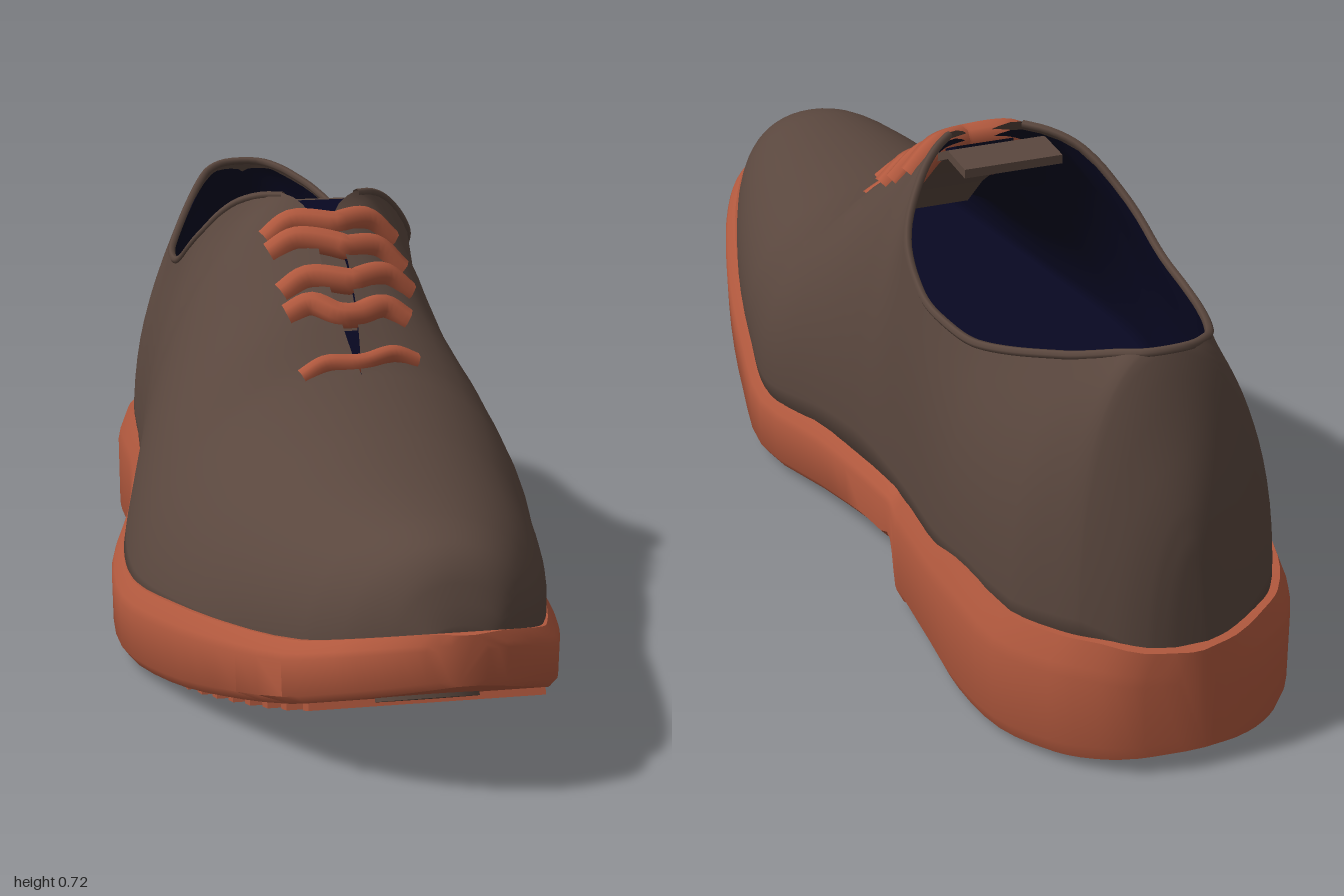
import * as THREE from 'three';
import { mergeVertices, toCreasedNormals } from 'three/addons/utils/BufferGeometryUtils.js';

const { clamp, lerp, smoothstep } = THREE.MathUtils;

const material = (name, color, extra = {}) => {
  const m = new THREE.MeshStandardMaterial({ color, ...extra });
  m.name = name;
  return m;
};

// Sole stations: z, left x, right x, bottom y, top y
const SOLE = [
  [-1, 0.04, 0.1, 0.035, 0.205], [-0.985, -0.02, 0.17, 0.03, 0.21], [-0.95, -0.08, 0.225, 0.022, 0.22],
  [-0.9, -0.13, 0.27, 0.016, 0.218], [-0.8, -0.18, 0.32, 0.012, 0.215], [-0.67, -0.202, 0.335, 0.012, 0.228],
  [-0.55, -0.207, 0.327, 0.012, 0.21], [-0.39, -0.23, 0.316, 0.012, 0.205], [-0.37, -0.232, 0.316, 0.014, 0.204],
  [-0.345, -0.238, 0.315, 0.098, 0.202], [-0.3, -0.247, 0.314, 0.09, 0.197], [-0.2, -0.272, 0.313, 0.073, 0.183],
  [0, -0.333, 0.32, 0.032, 0.158], [0.2, -0.354, 0.354, 0.014, 0.143], [0.4, -0.322, 0.322, 0.026, 0.155],
  [0.6, -0.275, 0.278, 0.06, 0.176], [0.8, -0.215, 0.218, 0.105, 0.204], [0.9, -0.16, 0.175, 0.137, 0.23],
  [0.95, -0.11, 0.14, 0.155, 0.245], [0.985, -0.055, 0.095, 0.17, 0.255], [1, -0.01, 0.05, 0.178, 0.255],
];
// Upper stations: z, top y, left and right x of the opening (equal where closed)
const UPPER = [
  [-0.985, 0.36, 0.075, 0.075], [-0.975, 0.44, 0.078, 0.078], [-0.95, 0.54, 0.08, 0.08], [-0.915, 0.66, 0.085, 0.085],
  [-0.905, 0.667, 0.045, 0.125], [-0.88, 0.66, 0.015, 0.15], [-0.8, 0.63, -0.03, 0.2], [-0.6, 0.567, -0.11, 0.255],
  [-0.5, 0.56, -0.13, 0.27], [-0.4, 0.572, -0.135, 0.275], [-0.3, 0.63, -0.12, 0.26], [-0.22, 0.7, -0.07, 0.2],
  [-0.15, 0.722, 0, 0.13], [-0.1, 0.695, 0.035, 0.08], [0, 0.632, 0.032, 0.078], [0.1, 0.567, 0.036, 0.07],
  [0.18, 0.5, 0.045, 0.058], [0.22, 0.475, 0.05, 0.05], [0.3, 0.44, 0.04, 0.04], [0.4, 0.412, 0.03, 0.03],
  [0.6, 0.395, 0.015, 0.015], [0.8, 0.385, 0.01, 0.01], [0.87, 0.37, 0.012, 0.012], [0.92, 0.335, 0.015, 0.015],
  [0.95, 0.255, 0.02, 0.02],
];

// Smooth interpolation between stations
function at(table, z) {
  const n = table.length;
  let i = 0;
  while (i < n - 2 && z > table[i + 1][0]) i++;
  const a = table[i], b = table[i + 1], p = table[Math.max(0, i - 1)], q = table[Math.min(n - 1, i + 2)];
  const w = b[0] - a[0], t = clamp((z - a[0]) / w, 0, 1);
  const t2 = t * t, t3 = t2 * t;
  return a.slice(1).map((v, k) => {
    const m0 = (b[k + 1] - p[k + 1]) / (b[0] - p[0]), m1 = (q[k + 1] - v) / (q[0] - a[0]);
    return (2 * t3 - 3 * t2 + 1) * v + (t3 - 2 * t2 + t) * w * m0
      + (3 * t2 - 2 * t3) * b[k + 1] + (t3 - t2) * w * m1;
  });
}

const stations = (table, steps) => table.slice(0, -1).flatMap((r, i) =>
  Array.from({ length: steps }, (_, k) => r[0] + (table[i + 1][0] - r[0]) * k / steps)).concat(table.at(-1)[0]);

// Skin closed rings of points; skip(i, j) leaves a quad open
function loft(rings, skip = () => false) {
  const n = rings[0].length, last = (rings.length - 1) * n, index = [];
  for (let i = 0; i < rings.length - 1; i++) for (let j = 0; j < n; j++) {
    if (skip(i, j)) continue;
    const a = i * n + j, c = i * n + (j + 1) % n;
    index.push(a, a + n, c, a + n, c + n, c);
  }
  for (let j = 1; j < n - 1; j++) index.push(0, j, j + 1, last, last + j + 1, last + j);
  const g = new THREE.BufferGeometry();
  g.setAttribute('position', new THREE.Float32BufferAttribute(rings.flat().flatMap(p => [p.x, p.y, p.z]), 3));
  g.setIndex(index);
  const merged = mergeVertices(g, 1e-4);
  merged.computeVertexNormals();
  return merged;
}

// Point on one side of the upper: u = 0 at the sole, u = 1 at the ridge or opening
function upperPoint(z, side, u, inset = 0, lift = -0.03) {
  const [xl, xr, , top] = at(SOLE, z > 0 ? z * 1.04 : z * 1.01);
  const [yt, ol, or] = at(UPPER, z);
  const ledge = 0.017 + 0.012 * smoothstep(-z, 0.5, 0.75);
  const xb = (xl + xr) / 2 + side * Math.max(0.004, (xr - xl) / 2 - ledge - inset);
  const xt = side < 0 ? ol : Math.max(ol, or), d = xb - xt;
  const open = clamp((or - ol) / 0.25, 0, 1);
  const yb = top + lift, h = Math.max(0.01, yt - inset - yb), v = 1 - u;
  const b = [v * v * v, 3 * v * v * u, 3 * v * u * u, u * u * u];
  // The left side slopes more over the instep; the right stands nearly upright
  const instep = smoothstep(z, -0.3, 0) * (1 - smoothstep(z, 0.4, 0.7));
  const [low, high] = side < 0 ? [lerp(1, 0.91, instep), lerp(0.57, 0.5, instep)] : [1.1, 0.7];
  const x = xt + d * (b[0] + b[1] * low + b[2] * (high - 0.2 * open));
  const y = yb + h * (b[1] * 0.55 + b[2] * (1 - 0.25 * open) + b[3]);
  return new THREE.Vector3(x, y, z);
}

// Point on the upper found by its x
function surfaceAt(z, x, lift) {
  const side = x < 0.055 ? -1 : 1;
  let lo = 0, hi = 1;
  for (let k = 0; k < 20; k++) {
    const mid = (lo + hi) / 2;
    if ((upperPoint(z, side, mid).x - x) * side > 0) lo = mid; else hi = mid;
  }
  const p = upperPoint(z, side, lo);
  p.y += lift;
  return p;
}

// Strip drawn in side profile (z, y), extruded from x0 to x1
function strip(path, thickness, x0, x1) {
  const outline = [...path, ...path.slice().reverse().map(([z, y]) => [z, y - thickness])];
  const shape = new THREE.Shape(outline.map(([z, y]) => new THREE.Vector2(z, y)));
  return new THREE.ExtrudeGeometry(shape, { depth: x1 - x0, bevelEnabled: false })
    .rotateY(-Math.PI / 2).translate(x1, 0, 0);
}

export function createModel() {
  const brown = material('brown leather', 0x5a473e, { side: THREE.DoubleSide });
  const rust = material('rust rubber', 0xb2593e);
  const navy = material('navy lining', 0x080822, { side: THREE.DoubleSide });
  const shoe = new THREE.Group();
  shoe.name = 'shoe';
  const add = (name, geometry, mat, parent = shoe) => {
    const mesh = new THREE.Mesh(geometry, mat);
    mesh.name = name;
    parent.add(mesh);
    return mesh;
  };

  // Sole with heel block and a sloping welt: [height fraction, inset]
  const edge = [[0, 0.014], [0.12, 0.002], [0.7, 0], [0.8, 0.004], [1, 0.02]];
  const soleRings = stations(SOLE, 3).map(z => {
    const [xl, xr, bottom, top] = at(SOLE, z);
    const wall = s => edge.map(([f, inset]) => new THREE.Vector3(
      s < 0 ? xl + inset : xr - inset, bottom + (top - bottom) * f, z));
    return [...wall(-1), ...wall(1).reverse()];
  });
  add('sole', toCreasedNormals(loft(soleRings), 0.7), rust);

  // Upper and its lining, left open along the collar and lace slit
  const N = 14, zs = stations(UPPER, 3);
  const shell = (inset, lift, zScale) => {
    const rings = zs.map(z => {
      const half = s => Array.from({ length: N + 1 }, (_, k) => {
        const p = upperPoint(z, s, k / N, inset, lift);
        p.z *= zScale;
        return p;
      });
      return [...half(-1), ...half(1).reverse()];
    });
    const gap = r => r[N + 1].x - r[N].x;
    return loft(rings, (i, j) => j === N && Math.max(gap(rings[i]), gap(rings[i + 1])) > 0.003);
  };
  add('upper', shell(0, -0.03, 1), brown);
  add('lining', shell(0.015, 0.012, 0.985), navy);

  // Rolled collar edge
  const rimZ = Array.from({ length: 24 }, (_, k) => -0.15 - 0.757 * k / 23);
  const rim = [...rimZ.map(z => upperPoint(z, -1, 1)), ...rimZ.reverse().map(z => upperPoint(z, 1, 1))];
  rim.forEach(p => { p.y -= 0.004; });
  add('collar', new THREE.TubeGeometry(new THREE.CatmullRomCurve3(rim), 120, 0.007, 6), brown);

  // Tongue, with the lining showing at its throat and at the foot of the slit
  add('tongue', strip([[0.17, 0.465], [0.1, 0.53], [0, 0.6], [-0.1, 0.667], [-0.17, 0.7], [-0.245, 0.695]], 0.015, -0.03, 0.14), brown);
  add('throatLining', strip([[-0.105, 0.675], [-0.17, 0.705]], 0.006, 0.025, 0.125), navy);
  add('slitLining', strip([[0.165, 0.476], [0.11, 0.527]], 0.006, 0.035, 0.07), navy);

  // Laces: broad bands that dip over the slit
  const laces = new THREE.Group();
  laces.name = 'laces';
  shoe.add(laces);
  [-0.085, -0.035, 0.038, 0.103, 0.188].forEach((z, i) => {
    const [x0, x1] = i < 3 ? [-0.045, 0.18] : [-0.045, 0.155];
    const bow = i === 4 ? 0.004 : 0.01;
    const pts = [0, 0.2, 0.45, 0.55, 0.8, 1].map((t, k) => {
      const middle = k === 2 || k === 3;
      const zz = z + (middle ? bow : -bow) + (i % 2 ? 0.014 : -0.024) * (t - 0.5);
      return surfaceAt(zz, x0 + (x1 - x0) * t, k === 0 || k === 5 ? -0.006 : middle ? -0.002 : 0.002);
    });
    add('lace', new THREE.TubeGeometry(new THREE.CatmullRomCurve3(pts), 24, i === 4 ? 0.016 : 0.023, 8), rust, laces);
  });

  // Tread ribs across the forefoot and heel
  const tread = new THREE.Group();
  tread.name = 'tread';
  shoe.add(tread);
  const rib = z => {
    const [xl, xr, y] = at(SOLE, z);
    const slope = (at(SOLE, z + 0.01)[2] - at(SOLE, z - 0.01)[2]) / 0.02;
    const mesh = add('rib', new THREE.BoxGeometry((xr - xl) * 0.88, 0.024, 0.038), rust, tread);
    mesh.position.set((xl + xr) / 2, y + 0.001, z);
    mesh.rotation.x = -Math.atan(slope);
  };
  for (let z = -0.02; z < 0.86; z += 0.06) rib(z);
  for (let z = -0.43; z > -0.64; z -= 0.055) rib(z);

  // Worn patches under heel and toe
  const patch = (name, r, x, y, z, mat, stretch) => {
    const mesh = add(name, new THREE.CylinderGeometry(r, r, 0.008, 24), mat);
    mesh.position.set(x, y, z);
    mesh.scale.z = stretch;
    return mesh;
  };
  patch('heelPatch', 0.12, 0.07, 0.011, -0.8, brown, 1.1);
  patch('heelPatchCentre', 0.082, 0.07, 0.008, -0.81, navy, 1.1);
  patch('toePatch', 0.08, -0.015, at(SOLE, 0.9)[2] - 0.002, 0.9, brown, 0.5).rotation.x = -0.33;

  return shoe;
}
